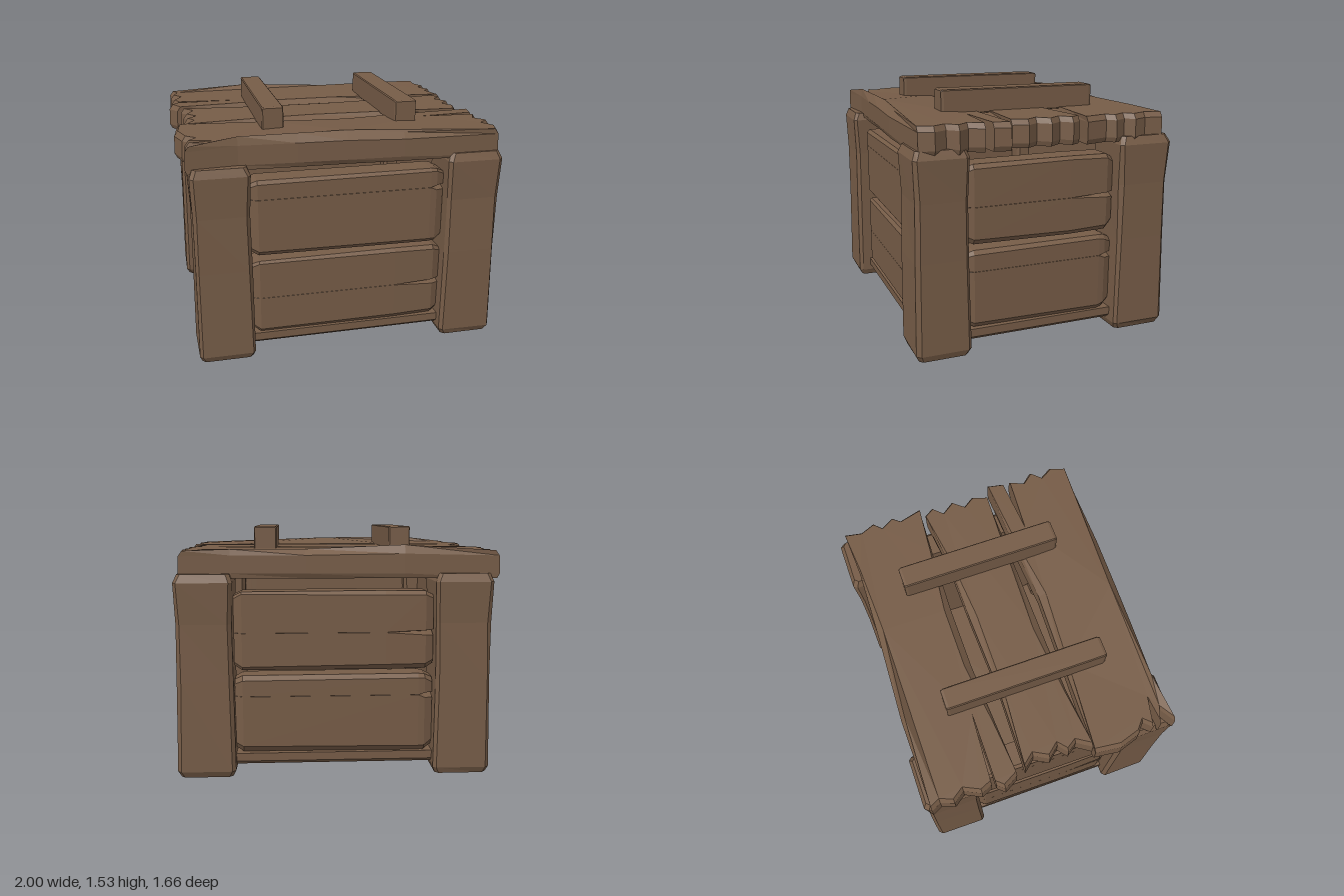
import * as THREE from 'three';

const wood = new THREE.MeshStandardMaterial({ color: 0x765c47 });
wood.name = 'brownWood';
wood.flatShading = true;

// small seeded noise in -1..1
let seed = 7;
const rnd = () => {
  seed = (seed * 16807) % 2147483647;
  return (seed / 2147483647) * 2 - 1;
};

// Skin rings of [u, v, dt] placed at heights t, with triangulated end caps.
function loft(name, rings, map) {
  const n = rings[0].pts.length;
  const P = rings.map(r => r.pts.map(([u, v, dt = 0]) => map(u, v, r.t + dt)));
  const tris = [];
  for (let k = 0; k < P.length - 1; k++) {
    for (let i = 0; i < n; i++) {
      const j = (i + 1) % n;
      tris.push([P[k][i], P[k][j], P[k + 1][j]], [P[k][i], P[k + 1][j], P[k + 1][i]]);
    }
  }
  const cap = (k, flip) => {
    const flat = rings[k].pts.map(p => new THREE.Vector2(p[0], p[1]));
    const cw = THREE.ShapeUtils.isClockWise(flat);
    for (const [a, b, c] of THREE.ShapeUtils.triangulateShape(flat, [])) {
      const t = [flat[a], flat[b], flat[c]];
      const same = (THREE.ShapeUtils.area(t) < 0) === cw;
      tris.push(same !== flip ? [P[k][a], P[k][b], P[k][c]] : [P[k][a], P[k][c], P[k][b]]);
    }
  };
  cap(0, true);
  cap(P.length - 1, false);
  // turn everything outward if the skin came out inside out
  let volume = 0;
  const cross = new THREE.Vector3();
  for (const [a, b, c] of tris) volume += cross.crossVectors(b, c).dot(a);
  const pos = [];
  for (const [a, b, c] of tris) {
    for (const p of volume > 0 ? [a, b, c] : [a, c, b]) pos.push(p.x, p.y, p.z);
  }
  const geo = new THREE.BufferGeometry();
  geo.setAttribute('position', new THREE.Float32BufferAttribute(pos, 3));
  geo.computeVertexNormals();
  const mesh = new THREE.Mesh(geo, wood);
  mesh.name = name;
  return mesh;
}

const alongX = (u, v, t) => new THREE.Vector3(t, v, u);
const alongY = (u, v, t) => new THREE.Vector3(u, t, v);
const alongZ = (u, v, t) => new THREE.Vector3(u, v, t);

// rectangle with cut corners, shrunk by d
function octagon(u0, u1, v0, v1, c, d = 0, rough = 0) {
  u0 += d; u1 -= d; v0 += d; v1 -= d;
  return [[u0 + c, v0], [u1 - c, v0], [u1, v0 + c], [u1, v1 - c],
    [u1 - c, v1], [u0 + c, v1], [u0, v1 - c], [u0, v0 + c]]
    .map(([u, v]) => [u + rnd() * rough, v + rnd() * rough]);
}

// corner post, slightly waisted with chipped ends
function post(name, x0, x1, z0, z1) {
  const levels = [[0, 0.022], [0.04, 0.004], [0.6, 0.012], [0.95, 0.014], [1.2, 0.004], [1.25, 0.025]];
  return loft(name, levels.map(([t, d]) => ({
    t, pts: octagon(x0, x1, z0, z1, 0.022, d, t > 0 && t < 1.25 ? 0.004 : 0),
  })), alongY);
}

// wall board with a split that opens towards its right end
function board(name, y0, y1, half, splitY, splitLength) {
  const thick = 0.17, start = half - splitLength;
  const stations = [[-half, 0.03, 0], [-half + 0.05, 0.004, 0], [start, 0, 0],
    [half - 0.05, 0.004, 0.8], [half, 0.03, 1]];
  return loft(name, stations.map(([t, d, open]) => {
    const w = 0.001 + 0.022 * open, c = 0.022 + 0.008 * rnd();
    return { t, pts: [
      [-thick, y0 + d], [-c - d, y0 + d], [-d, y0 + d + c * 1.3],
      [-d, splitY - w], [-d - 0.001 - 0.07 * open, splitY], [-d, splitY + w * 0.6],
      [-d, y1 - d - c], [-c - d, y1 - d], [-thick, y1 - d],
    ] };
  }), alongX);
}

function wall(name, angle, x, z, half, longBelow) {
  const g = new THREE.Group();
  g.name = name;
  g.add(board('lowerBoard', 0.13, 0.622, half, longBelow ? 0.37 : 0.49, longBelow ? 0.31 : 0.09));
  g.add(board('upperBoard', 0.652, 1.142, half, longBelow ? 1.02 : 0.885, longBelow ? 0.09 : 0.3));
  g.rotation.y = angle;
  g.position.set(x, 0, z);
  return g;
}

// lid plank from its ragged outline [x, z]; the rim leans in towards the top
function lidPlank(name, outline, z0, z1, hump) {
  const mid = (z0 + z1) / 2, half = (z1 - z0) / 2;
  const shrink = (endScale, inset, lift) => outline.map(([x, z]) => {
    const s = (z - mid) / half;
    const rim = Math.abs(s) > 0.75 && Math.abs(x) < 0.85;
    const dz = rim ? -Math.sign(s) * inset * (1 + 0.7 * Math.cos(4 * x)) : 0;
    const outer = hump !== 0 && s * hump > 0.75 && Math.abs(x) < 0.8;
    const dy = outer ? lift * (x < 0.1 ? 0.034 : 0.008) : 0;
    return [Math.abs(x) > 0.8 ? x * endScale : x, z + dz, dy];
  });
  return loft(name, [
    { t: 1.22, pts: shrink(0.985, 0.01, 0) },
    { t: 1.25, pts: shrink(1, 0, 0) },
    { t: 1.355, pts: shrink(0.995, 0, 0.4) },
    { t: 1.387, pts: shrink(0.972, 0.028, 1) },
  ], alongY);
}

export function createModel() {
  const crate = new THREE.Group();
  crate.name = 'woodenCrate';

  // corner posts
  for (const [side, x0, x1] of [['right', -0.945, -0.582], ['left', 0.63, 0.99]]) {
    crate.add(post(side + 'FrontPost', x0, x1, 0.485, 0.83));
    crate.add(post(side + 'BackPost', x0, x1, -0.83, -0.47));
  }

  // walls of two boards each
  const q = Math.PI / 2;
  crate.add(wall('frontWall', 0, 0.024, 0.75, 0.615, true));
  crate.add(wall('leftWall', q, 0.91, 0.008, 0.487, false));
  crate.add(wall('backWall', 2 * q, 0.024, -0.75, 0.615, false));
  crate.add(wall('rightWall', -q, -0.865, 0.008, 0.487, true));

  // floor
  crate.add(loft('floor', [[0.055, 0.03], [0.08, 0], [0.13, 0]].map(([t, d]) => ({
    t, pts: octagon(-0.865, 0.91, -0.75, 0.75, 0.03, d),
  })), alongY));

  // lid planks
  crate.add(lidPlank('backLidPlank', [
    [-0.98, -0.78], [-0.4, -0.79], [0.2, -0.765], [0.65, -0.755], [0.96, -0.77],
    [0.94, -0.66], [0.98, -0.57], [0.93, -0.52], [0.98, -0.44], [0.94, -0.39], [0.98, -0.245],
    [0.65, -0.26], [0.2, -0.275], [-0.2, -0.275], [-0.6, -0.255], [-0.95, -0.24],
    [-1, -0.33], [-0.96, -0.375], [-0.5, -0.372], [-0.95, -0.4], [-0.98, -0.47],
    [-0.93, -0.57], [-0.98, -0.64], [-0.95, -0.72],
  ], -0.79, -0.25, -1));
  crate.add(lidPlank('middleLidPlank', [
    [-0.93, -0.18], [-0.4, -0.165], [0.1, -0.18], [0.55, -0.185], [0.92, -0.22],
    [0.96, -0.16], [0.9, -0.1], [0.96, -0.02], [0.9, 0.05], [0.95, 0.12], [0.92, 0.215],
    [0.4, 0.22], [-0.1, 0.22], [-0.55, 0.225], [-0.94, 0.25],
    [-0.88, 0.16], [-0.92, 0.1], [-0.86, 0.05], [-0.92, -0.02], [-0.87, -0.11],
  ], -0.2, 0.23, 0));
  crate.add(lidPlank('frontLidPlank', [
    [-0.98, 0.25], [-0.4, 0.27], [0.1, 0.29], [0.5, 0.265], [1, 0.25],
    [0.98, 0.35], [0.6, 0.378], [0.98, 0.4], [0.94, 0.49], [1, 0.56], [0.94, 0.62],
    [0.99, 0.7], [0.96, 0.79], [0.35, 0.797], [0, 0.785], [-0.3, 0.775], [-0.65, 0.755], [-0.96, 0.78],
    [-0.86, 0.72], [-0.95, 0.69], [-0.76, 0.675], [-0.95, 0.64], [-0.9, 0.59],
    [-0.96, 0.54], [-1, 0.41],
  ], 0.25, 0.79, 1));

  // battens across the lid
  for (const [name, x0, x1] of [['rightBatten', -0.47, -0.335], ['leftBatten', 0.375, 0.517]]) {
    const ends = [[-0.512, 0.006], [-0.495, 0], [0.495, 0], [0.512, 0.006]];
    crate.add(loft(name, ends.map(([t, d]) => ({
      t, pts: octagon(x0, x1, 1.375, 1.526, 0.006, d),
    })), alongZ));
  }
  return crate;
}
